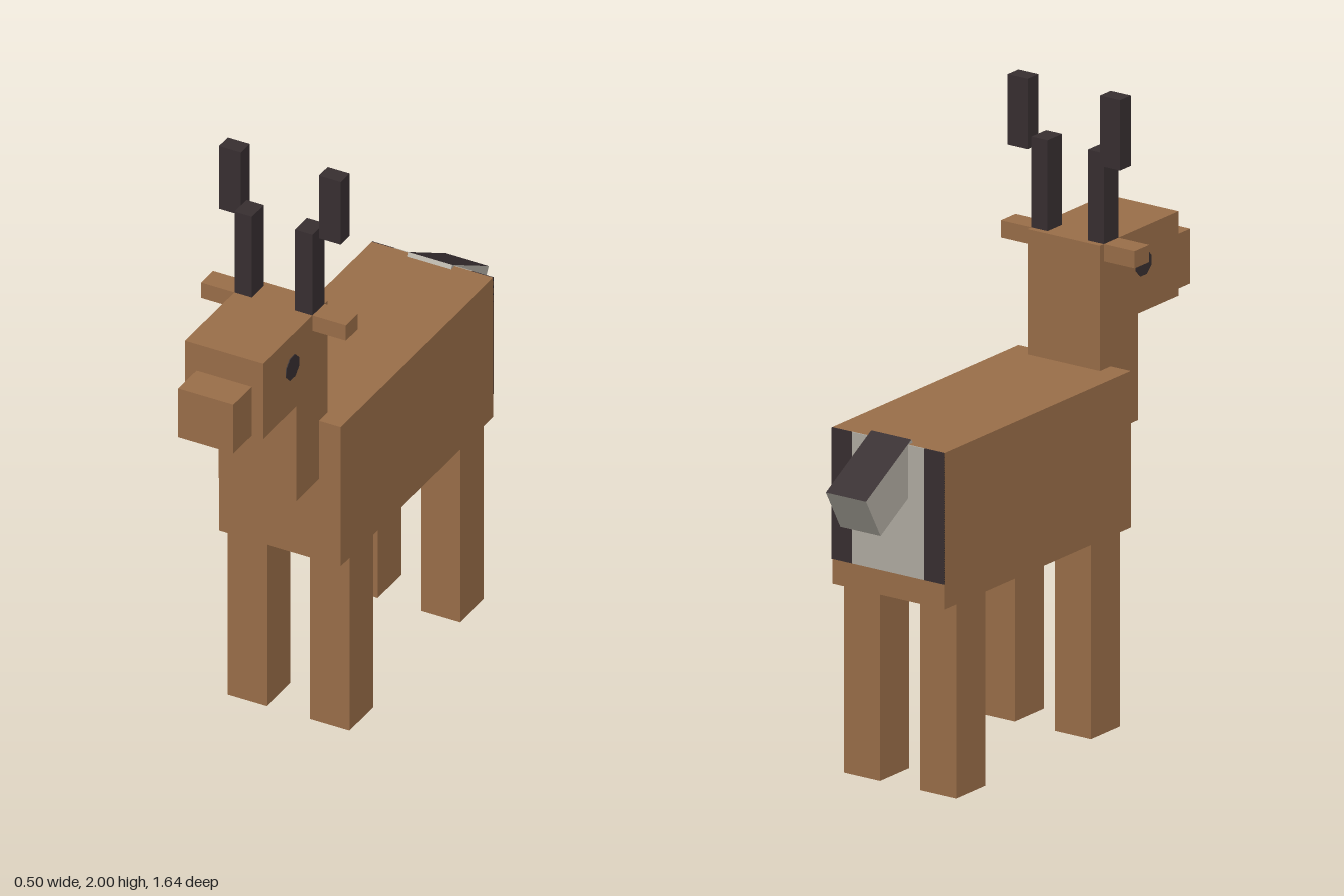
import * as THREE from 'three';

export function createModel() {
  const model = new THREE.Group();
  model.name = 'deer';

  const paint = (name, color) => {
    const m = new THREE.MeshStandardMaterial({ color });
    m.name = name;
    return m;
  };
  const brown = paint('brown fur', 0x9b6f49);
  const dark = paint('dark brown', 0x382f31);
  const pale = paint('pale fur', 0xb2ada3);
  const belly = paint('belly grey', 0xa9a8a6);

  // Box given by its limits along each axis
  const box = (name, material, [x0, x1], [y0, y1], [z0, z1]) => {
    const mesh = new THREE.Mesh(new THREE.BoxGeometry(x1 - x0, y1 - y0, z1 - z0), material);
    mesh.position.set((x0 + x1) / 2, (y0 + y1) / 2, (z0 + z1) / 2);
    mesh.name = name;
    model.add(mesh);
    return mesh;
  };

  // Body with a grey underside
  box('body', [brown, brown, brown, belly, brown, brown], [-0.21, 0.21], [0.62, 1.12], [-0.6, 0.36]);

  // Neck, head and snout
  box('neck', brown, [-0.135, 0.135], [0.91, 1.25], [0.305, 0.5]);
  box('head', brown, [-0.135, 0.135], [1.25, 1.52], [0.305, 0.71]);
  box('snout', brown, [-0.095, 0.095], [1.25, 1.425], [0.71, 0.825]);

  // Rump patch
  box('rumpPatch', pale, [-0.135, 0.135], [0.7, 1.12], [-0.603, -0.599]);

  // Tail: dark on top, pale elsewhere, hanging at 30 degrees
  const tail = new THREE.Mesh(
    new THREE.BoxGeometry(0.15, 0.15, 0.27),
    [pale, pale, dark, pale, pale, pale]
  );
  tail.position.set(0, 1.0, -0.665);
  tail.rotation.x = -Math.PI / 6;
  tail.name = 'tail';
  model.add(tail);

  // Paired parts
  for (const [side, s] of [['left', 1], ['right', -1]]) {
    const span = (a, b) => (s > 0 ? [a, b] : [-b, -a]);
    box(side + 'FrontLeg', brown, span(0.075, 0.21), [0, 0.62], [0.155, 0.305]);
    box(side + 'BackLeg', brown, span(0.075, 0.21), [0, 0.62], [-0.54, -0.39]);
    box(side + 'Ear', brown, span(0.135, 0.25), [1.465, 1.52], [0.325, 0.4]);
    box(side + 'LowerAntler', dark, span(0.075, 0.135), [1.52, 1.81], [0.325, 0.4]);
    box(side + 'UpperAntler', dark, span(0.135, 0.21), [1.775, 2], [0.305, 0.36]);
    box(side + 'RumpStripe', dark, span(0.135, 0.21), [0.7, 1.12], [-0.603, -0.599]);

    // Eight-sided eye disc
    const eyeShape = new THREE.CylinderGeometry(0.042, 0.042, 0.006, 8);
    eyeShape.rotateY(Math.PI / 8).rotateZ(Math.PI / 2);
    const eye = new THREE.Mesh(eyeShape, dark);
    eye.position.set(s * 0.135, 1.405, 0.527);
    eye.name = side + 'Eye';
    model.add(eye);
  }

  return model;
}
